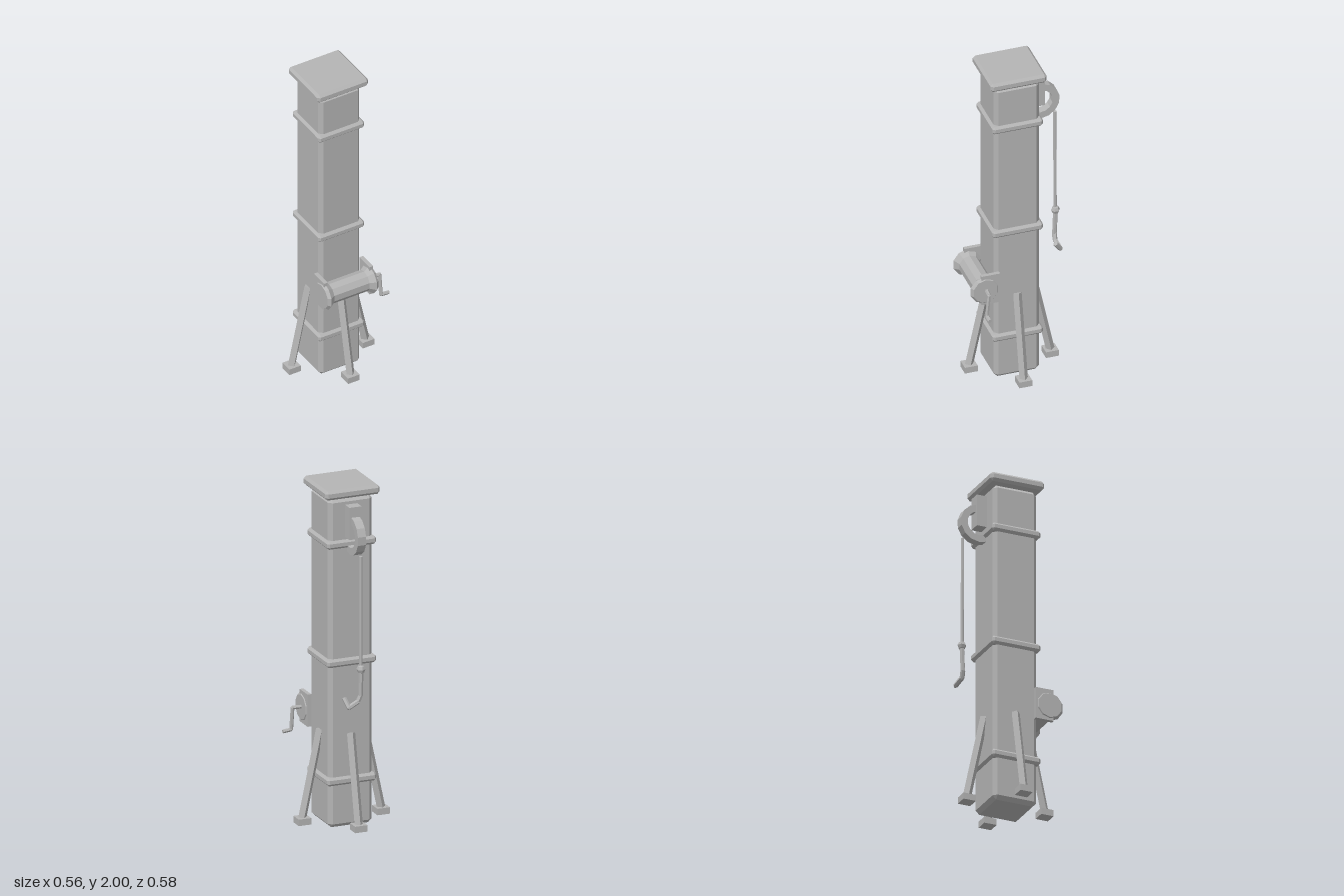
import * as THREE from 'three';
import { ConvexGeometry } from 'three/addons/geometries/ConvexGeometry.js';

const stone = new THREE.MeshStandardMaterial({ color: 0xb4b4b4, flatShading: true });
stone.name = 'plain grey';
const CZ = 0.007; // z of the column axis

function add(parent, name, geometry, x = 0, y = 0, z = 0) {
  const mesh = new THREE.Mesh(geometry, stone);
  mesh.name = name;
  mesh.position.set(x, y, z);
  parent.add(mesh);
  return mesh;
}

// Box with every edge cut by a chamfer c
function chamferBox(w, h, d, c) {
  const pts = [];
  for (const sx of [-1, 1]) for (const sy of [-1, 1]) for (const sz of [-1, 1]) {
    for (let k = 0; k < 3; k++) {
      pts.push(new THREE.Vector3(
        sx * (w / 2 - (k === 0 ? 0 : c)),
        sy * (h / 2 - (k === 1 ? 0 : c)),
        sz * (d / 2 - (k === 2 ? 0 : c))));
    }
  }
  return new ConvexGeometry(pts);
}

// Straight prism between two points
function rod(parent, name, a, b, r, sides) {
  const from = new THREE.Vector3(...a), to = new THREE.Vector3(...b);
  const dir = to.clone().sub(from);
  const mesh = add(parent, name, new THREE.CylinderGeometry(r, r, dir.length(), sides));
  mesh.position.copy(from).add(to).multiplyScalar(0.5);
  mesh.quaternion.setFromUnitVectors(new THREE.Vector3(0, 1, 0), dir.normalize());
  return mesh;
}

// Chain of rods with a small ball at each bend
function bentRod(parent, name, pts, r, sides) {
  for (let i = 1; i < pts.length; i++) {
    rod(parent, name, pts[i - 1], pts[i], r, sides);
    if (i < pts.length - 1) add(parent, name + 'Bend', new THREE.IcosahedronGeometry(r, 0), ...pts[i]);
  }
}

export function createModel() {
  const model = new THREE.Group();
  model.name = 'postWithWinch';

  // Column, cap and bands
  add(model, 'column', chamferBox(0.268, 1.94, 0.268, 0.022), 0, 0.97, CZ);
  add(model, 'cap', chamferBox(0.333, 0.055, 0.333, 0.015), 0, 1.9725, CZ);
  for (const y of [0.275, 0.973, 1.672]) {
    add(model, 'band', chamferBox(0.3, 0.048, 0.3, 0.013), 0, y, CZ);
  }

  // Four splayed struts on square feet
  for (let i = 0; i < 4; i++) {
    const strut = new THREE.Group();
    strut.name = 'strut';
    strut.position.z = CZ;
    strut.rotation.y = i * Math.PI / 2;
    rod(strut, 'leg', [0.242, 0.03, 0], [0.132, 0.55, 0], 0.025, 4);
    add(strut, 'foot', new THREE.BoxGeometry(0.076, 0.038, 0.076), 0.24, 0.024, 0);
    model.add(strut);
  }

  // Winch on the front
  const winch = new THREE.Group();
  winch.name = 'winch';
  for (const s of [-1, 1]) {
    add(winch, 'winchBracket', new THREE.BoxGeometry(0.023, 0.19, 0.11), s * 0.1485, 0.625, 0.173);
  }
  const profile = [[0, -0.165], [0.074, -0.165], [0.088, -0.148], [0.063, -0.115],
    [0.063, 0.115], [0.088, 0.148], [0.074, 0.165], [0, 0.165]]
    .map(([r, y]) => new THREE.Vector2(r, y));
  const drum = new THREE.LatheGeometry(profile, 10, Math.PI / 2);
  drum.rotateZ(-Math.PI / 2);
  add(winch, 'drum', drum, 0, 0.622, 0.205);
  bentRod(winch, 'crank', [[0.16, 0.625, 0.2], [0.215, 0.625, 0.203],
    [0.217, 0.492, 0.217], [0.268, 0.487, 0.216]], 0.011, 6);
  model.add(winch);

  // Curved arm on the back
  add(model, 'armBracket', new THREE.BoxGeometry(0.074, 0.19, 0.07), 0, 1.805, -0.153);
  const arc = new THREE.Shape();
  const steps = 8, start = 85, end = -115;
  for (let i = 0; i <= 2 * steps + 1; i++) {
    const outer = i <= steps;
    const k = outer ? i : 2 * steps + 1 - i;
    const a = THREE.MathUtils.degToRad(start + (end - start) * k / steps);
    const r = outer ? 0.114 : 0.073;
    const x = r * Math.cos(a), y = r * Math.sin(a);
    if (i === 0) arc.moveTo(x, y); else arc.lineTo(x, y);
  }
  const arm = new THREE.ExtrudeGeometry(arc, { depth: 0.05, bevelEnabled: false });
  arm.translate(0, 0, -0.025);
  arm.rotateY(Math.PI / 2);
  add(model, 'curvedArm', arm, 0, 1.73, -0.167);

  // Hanging rope, knot and hook
  rod(model, 'rope', [0, 0.97, -0.262], [0, 1.63, -0.26], 0.01, 6);
  const knot = add(model, 'knot', new THREE.SphereGeometry(0.026, 6, 4), 0, 0.967, -0.264);
  knot.rotation.y = Math.PI / 6;
  bentRod(model, 'hook', [[0, 0.96, -0.264], [0, 0.81, -0.258],
    [0.015, 0.775, -0.256], [0.075, 0.75, -0.268], [0.09, 0.8, -0.233]], 0.014, 6);

  return model;
}
